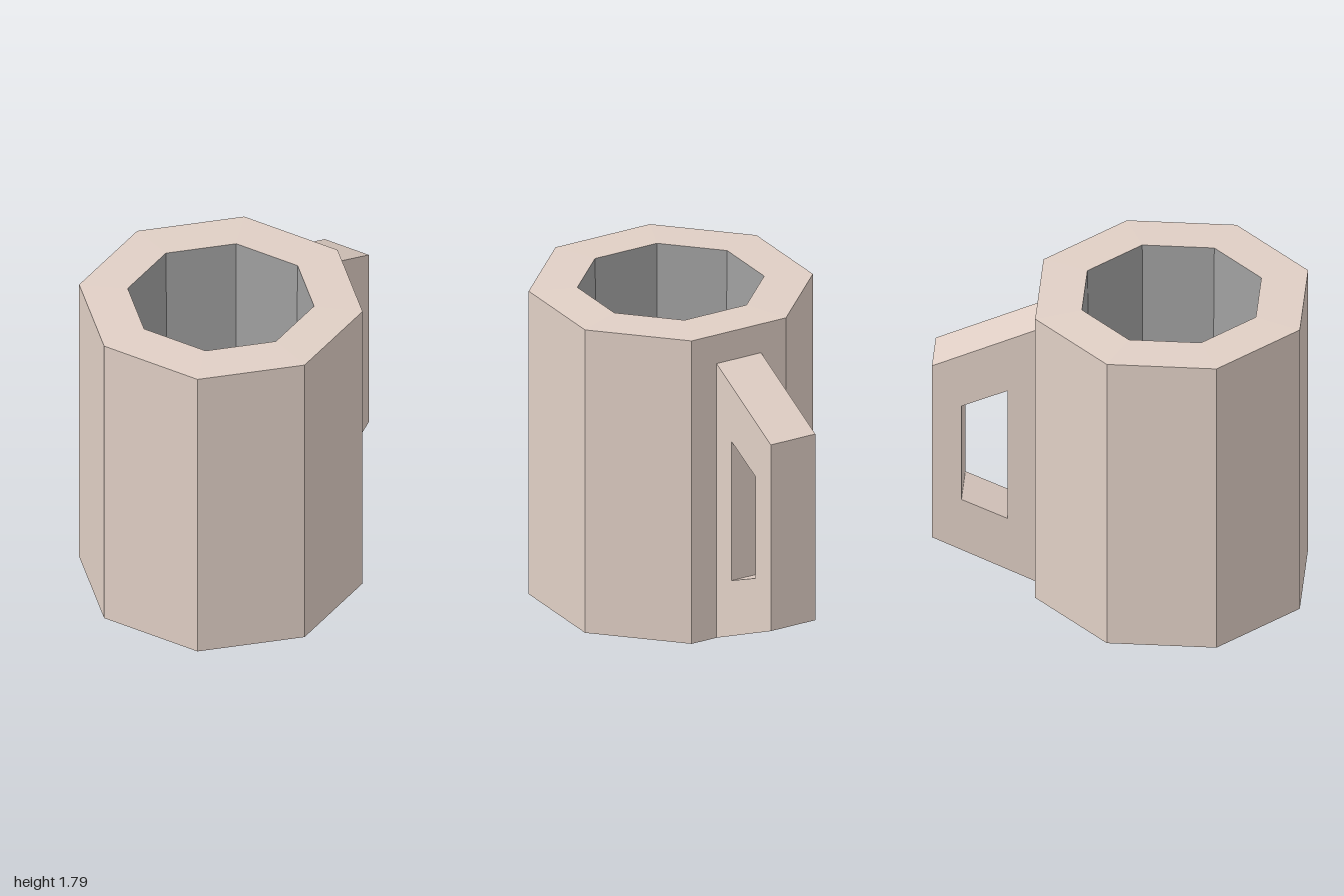
import * as THREE from 'three';

const CENTRE_Z = 0.285;

export function createModel() {
  const clay = new THREE.MeshStandardMaterial({ color: 0xe0cfc5 });
  clay.name = 'beige clay';
  clay.flatShading = true;
  const lining = new THREE.MeshStandardMaterial({ color: 0xa0a0a0 });
  lining.name = 'grey lining';
  lining.flatShading = true;

  const mug = new THREE.Group();
  mug.name = 'mug';

  // Eight-sided surface from a [distance to flat side, height] profile
  const addOctagon = (name, profile, material) => {
    const points = profile.map(([a, y]) => new THREE.Vector2(a / Math.cos(Math.PI / 8), y));
    const mesh = new THREE.Mesh(new THREE.LatheGeometry(points, 8, Math.PI / 8), material);
    mesh.name = name;
    mesh.position.z = CENTRE_Z;
    mug.add(mesh);
  };

  // Base, outer wall and wide rim
  addOctagon('body', [[0, 0], [0.715, 0], [0.715, 1.79], [0.47, 1.795]], clay);
  // Slightly tapering inner wall
  addOctagon('innerWall', [[0.47, 1.795], [0.448, 0.15]], lining);
  // Bottom of the cup
  addOctagon('innerFloor', [[0.448, 0.15], [0, 0.15]], clay);

  // Angular handle at the back: outline in (-z, y), with a finger hole
  const toPoints = (list) => list.map(([x, y]) => new THREE.Vector2(x, y));
  const outline = new THREE.Shape(toPoints([[0.43, 0], [1, 0.26], [1, 1.36], [0.43, 1.62]]));
  outline.holes.push(new THREE.Path(toPoints([[0.59, 0.4], [0.59, 1.22], [0.84, 1.11], [0.84, 0.51]])));
  const handleGeometry = new THREE.ExtrudeGeometry(outline, { depth: 0.28, bevelEnabled: false });
  handleGeometry.translate(0, 0, -0.14);
  handleGeometry.rotateY(Math.PI / 2);
  const handle = new THREE.Mesh(handleGeometry, clay);
  handle.name = 'handle';
  mug.add(handle);

  return mug;
}
